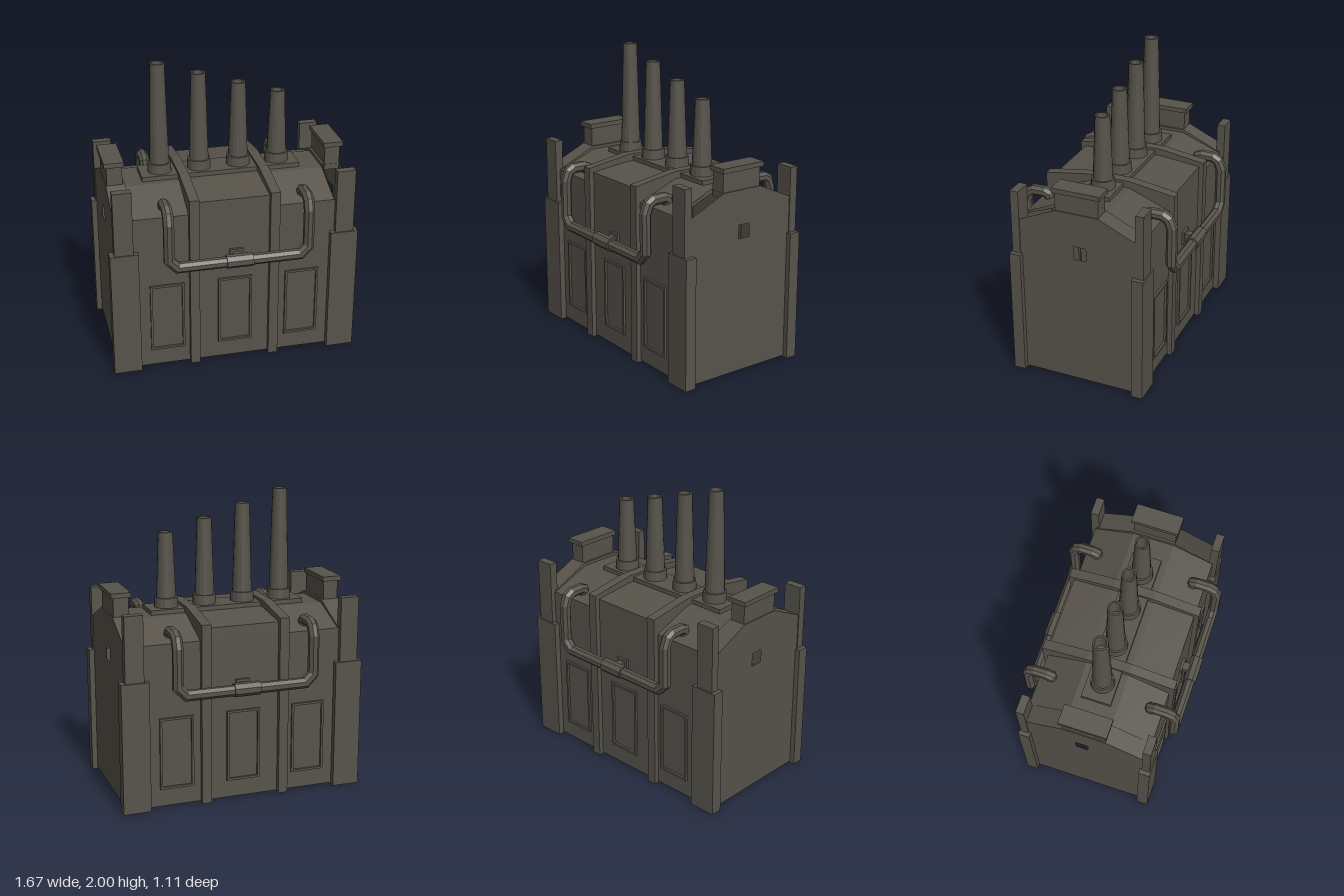
import * as THREE from 'three';

export function createModel() {
  const model = new THREE.Group();
  model.name = 'factoryBlock';
  const stone = new THREE.MeshStandardMaterial({ color: 0x57534b, flatShading: true, side: THREE.DoubleSide });
  stone.name = 'soot stone';

  const add = (name, geometry, x = 0, y = 0, z = 0) => {
    const mesh = new THREE.Mesh(geometry, stone);
    mesh.name = name;
    mesh.position.set(x, y, z);
    model.add(mesh);
    return mesh;
  };
  // Box given by its limits
  const box = (name, x0, x1, y0, y1, z0, z1) =>
    add(name, new THREE.BoxGeometry(x1 - x0, y1 - y0, z1 - z0), (x0 + x1) / 2, (y0 + y1) / 2, (z0 + z1) / 2);
  const polygon = (pts) => new THREE.Shape(pts.map(([a, b]) => new THREE.Vector2(a, b)));
  const rectHole = (x0, x1, y0, y1) => new THREE.Path(
    [[x0, y0], [x0, y1], [x1, y1], [x1, y0]].map(([a, b]) => new THREE.Vector2(a, b)));

  // Open sheet: a (z, y) profile carried along x
  const sheet = (name, profile, x0, x1) => {
    const pos = [], index = [];
    profile.forEach(([z, y], i) => {
      pos.push(x0, y, z, x1, y, z);
      if (i) {
        const a = 2 * i - 2;
        index.push(a, a + 2, a + 1, a + 1, a + 2, a + 3);
      }
    });
    const g = new THREE.BufferGeometry();
    g.setAttribute('position', new THREE.Float32BufferAttribute(pos, 3));
    g.setIndex(index);
    g.computeVertexNormals();
    return add(name, g);
  };

  // Mitred pipe: each ring slides along its segment to the next bisecting plane
  const pipe = (points, radius, sides) => {
    const dirs = points.slice(1).map((p, i) => p.clone().sub(points[i]).normalize());
    const q = new THREE.Quaternion().setFromUnitVectors(new THREE.Vector3(0, 1, 0), dirs[0]);
    let ring = Array.from({ length: sides }, (_, k) => {
      const a = (k + 0.5) / sides * Math.PI * 2;
      return new THREE.Vector3(Math.cos(a) * radius, 0, Math.sin(a) * radius).applyQuaternion(q).add(points[0]);
    });
    const pos = [], index = [];
    points.forEach((p, i) => {
      if (i) {
        const d = dirs[i - 1];
        const n = d.clone().add(dirs[i] || d).normalize();
        ring = ring.map((v) => v.clone().addScaledVector(d, p.clone().sub(v).dot(n) / d.dot(n)));
      }
      ring.forEach((v, k) => {
        pos.push(v.x, v.y, v.z);
        if (i) {
          const a = i * sides + k, b = i * sides + (k + 1) % sides;
          index.push(a - sides, a, b - sides, b - sides, a, b);
        }
      });
    });
    const g = new THREE.BufferGeometry();
    g.setAttribute('position', new THREE.Float32BufferAttribute(pos, 3));
    g.setIndex(index);
    g.computeVertexNormals();
    return g;
  };

  // Roof: lower end bays and a raised middle bay
  const roof = (eave) => [[0.425, eave], [0.145, 1.22], [-0.145, 1.22], [-0.425, eave]];
  sheet('leftRoof', roof(1.11), 0.262, 0.67);
  sheet('middleRoof', roof(1.19), -0.277, 0.262);
  sheet('rightRoof', roof(1.11), -0.67, -0.277);

  // Ribs running up the walls and over the roof
  const ribShape = polygon([[0.458, 0], [0.458, 1.22], [0.145, 1.268], [-0.145, 1.268], [-0.458, 1.22], [-0.458, 0],
    [-0.42, 0], [-0.42, 1.1], [-0.145, 1.2], [0.145, 1.2], [0.42, 1.1], [0.42, 0]]);
  for (const x of [-0.31, 0.23]) {
    const g = new THREE.ExtrudeGeometry(ribShape, { depth: 0.065, bevelEnabled: false });
    add('rib', g.rotateY(Math.PI / 2), x);
  }

  // Long walls with raised panel frames
  const wall = polygon([[-0.797, 0.01], [0.797, 0.01], [0.797, 1.11], [0.262, 1.11], [0.262, 1.19],
    [-0.277, 1.19], [-0.277, 1.11], [-0.797, 1.11]]);
  const frame = polygon([[-0.115, 0.13], [0.115, 0.13], [0.115, 0.617], [-0.115, 0.617]]);
  frame.holes.push(rectHole(-0.1, 0.1, 0.145, 0.602));
  for (const s of [1, -1]) {
    add('longWall', new THREE.ShapeGeometry(wall), 0, 0, 0.425 * s);
    for (const x of [-0.46, 0, 0.46]) {
      const g = new THREE.ExtrudeGeometry(frame, { depth: 0.028, bevelEnabled: false });
      add('panelFrame', g.translate(0, 0, -0.014), x, 0, 0.426 * s);
    }
  }

  // Gable ends with a square window, parapet, stack and corner piers
  const gable = polygon([[-0.425, 0.01], [0.425, 0.01], [0.425, 1.115], [0.15, 1.24], [-0.15, 1.24], [-0.425, 1.115]]);
  gable.holes.push(rectHole(-0.022, 0.063, 0.92, 1.01));
  const inner = polygon([[-0.425, 1.1], [-0.145, 1.21], [0.145, 1.21], [0.425, 1.1],
    [0.425, 1.115], [0.15, 1.24], [-0.15, 1.24], [-0.425, 1.115]]);
  for (const s of [1, -1]) {
    const span = (name, a, b, ...rest) => box(name, Math.min(a * s, b * s), Math.max(a * s, b * s), ...rest);
    add('gableWall', new THREE.ShapeGeometry(gable).rotateY(Math.PI / 2), 0.797 * s);
    add('parapetInner', new THREE.ShapeGeometry(inner).rotateY(Math.PI / 2), 0.672 * s);
    // The coping is open at the left front corner
    const coping = [[0.15, 1.24], [-0.15, 1.24], [-0.425, 1.115]];
    if (s < 0) coping.unshift([0.425, 1.115]);
    sheet('coping', coping, Math.min(0.672 * s, 0.797 * s), Math.max(0.672 * s, 0.797 * s));
    span('gableStack', 0.687, 0.79, 1.2, 1.37, -0.148, 0.148);
    span('gableStackCap', 0.675, 0.808, 1.368, 1.4, -0.165, 0.163);
    for (const t of [1, -1]) {
      const z = (a, b) => [Math.min(a * t, b * t), Math.max(a * t, b * t)];
      span('lowerPier', 0.647, 0.833, 0, 0.88, ...z(0.387, 0.465));
      span('upperPier', 0.678, 0.803, 0.87, 1.32, ...z(0.4, 0.456));
    }
  }

  // Row of chimneys on a base plate
  box('chimneyPlate', -0.55, 0.525, 1.215, 1.25, -0.103, 0.1);
  [[-0.415, 2], [-0.147, 1.915], [0.122, 1.83], [0.39, 1.75]].forEach(([x, top]) => {
    const profile = [[0.081, 1.245], [0.077, 1.315], [0.066, 1.315], [0.048, top], [0.037, top], [0.037, top - 0.15], [0, top - 0.15]];
    add('chimney', new THREE.LatheGeometry(profile.map(([r, y]) => new THREE.Vector2(r, y)), 16), x);
  });

  // Outside pipes with couplings and wall brackets
  const drop = [[0, 1.1, 0.335], [0, 1.165, 0.345], [0, 1.177, 0.375], [0, 1.175, 0.455],
    [0, 1.155, 0.49], [0, 1.095, 0.513], [0, 0.84, 0.513], [0.055, 0.783, 0.513]];
  for (const s of [1, -1]) {
    const half = (x, m) => drop.map(([dx, y, z]) => new THREE.Vector3(x + m * dx, y, z * s));
    add('outsidePipe', pipe([...half(-0.458, 1), ...half(0.474, -1).reverse()], 0.037, 8));
    const coupling = new THREE.CylinderGeometry(0.046, 0.046, 0.178, 8).rotateX(0).rotateY(Math.PI / 8).rotateZ(Math.PI / 2);
    add('pipeCoupling', coupling, 0.008, 0.785, 0.513 * s);
    box('bracketArm', -0.02, 0.036, 0.757, 0.813, s > 0 ? 0.42 : -0.49, s > 0 ? 0.49 : -0.42);
    box('bracketPlate', -0.038, 0.054, 0.74, 0.83, s > 0 ? 0.42 : -0.442, s > 0 ? 0.442 : -0.42);
  }
  return model;
}
